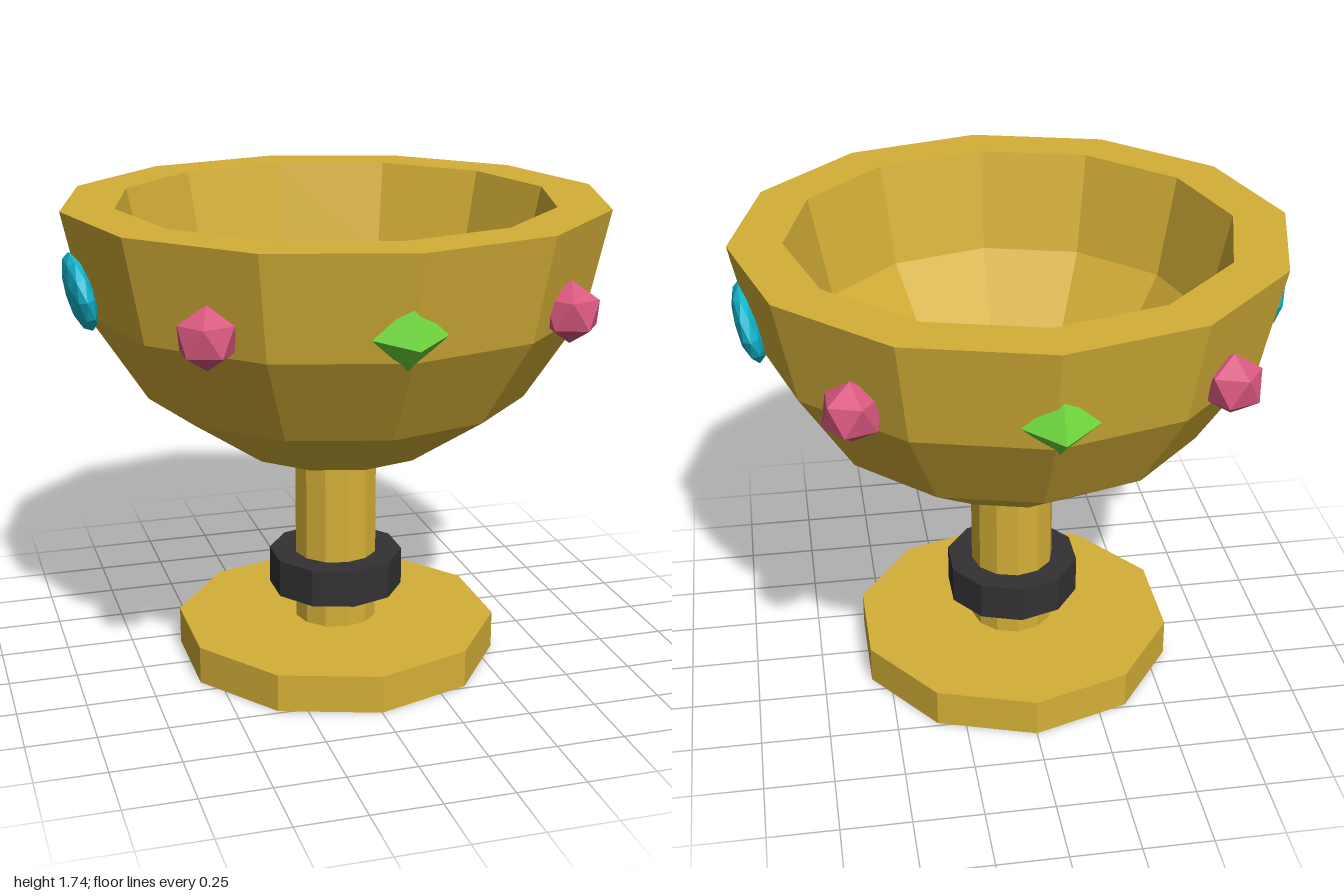
import * as THREE from 'three';

const paint = (color) => new THREE.MeshStandardMaterial({ color, flatShading: true });

export function createModel() {
  const goblet = new THREE.Group();
  goblet.name = 'goblet';
  const gold = paint(0xd4af37), dark = paint(0x333133);
  const pink = paint(0xd9587f), green = paint(0x6fd83c), cyan = paint(0x14b8d0);

  const add = (name, geometry, material, x = 0, y = 0, z = 0) => {
    const mesh = new THREE.Mesh(geometry, material);
    mesh.name = name;
    mesh.position.set(x, y, z);
    goblet.add(mesh);
    return mesh;
  };

  // Foot, stem and collar
  add('foot', new THREE.CylinderGeometry(0.6, 0.6, 0.14, 10), gold, 0, 0.07, 0);
  add('stem', new THREE.CylinderGeometry(0.155, 0.155, 0.72, 12), gold, 0, 0.47, 0);
  add('collar', new THREE.CylinderGeometry(0.25, 0.25, 0.14, 10), dark, 0, 0.33, 0);

  // Thick-walled bowl: up the outside, over the rim, down the inside
  const profile = [
    [0.15, 0.79], [0.38, 0.84], [0.695, 1.05], [0.9, 1.37], [0.98, 1.74],
    [0.79, 1.74], [0.71, 1.37], [0.505, 1.05], [0.2, 0.84], [0.15, 0.83], [0, 0.83],
  ].map(([r, y]) => new THREE.Vector2(r, y));
  add('bowl', new THREE.LatheGeometry(profile, 12), gold);

  // Gem shapes, built facing +z and tipped to follow the bowl wall
  const tilt = 0.21;
  const diamond = new THREE.OctahedronGeometry(1).scale(0.128, 0.12, 0.1).rotateX(tilt);
  const oval = new THREE.IcosahedronGeometry(1, 1).scale(0.185, 0.142, 0.05).rotateX(tilt);
  const round = new THREE.IcosahedronGeometry(0.108).rotateZ(0.5536);

  // Diamonds front and back, ovals left and right, round gems between
  for (const s of [1, -1]) {
    add(s > 0 ? 'frontDiamondGem' : 'backDiamondGem', diamond, green, -0.015, 1.455, s * 0.9)
      .rotation.y = s > 0 ? 0 : Math.PI;
    add(s > 0 ? 'leftOvalGem' : 'rightOvalGem', oval, cyan, s * 0.922, 1.458, 0)
      .rotation.y = s * Math.PI / 2;
    for (const f of [1, -1]) {
      add((f > 0 ? 'front' : 'back') + (s > 0 ? 'Left' : 'Right') + 'RoundGem',
        round, pink, s * 0.62, 1.443, f * 0.685);
    }
  }
  return goblet;
}
